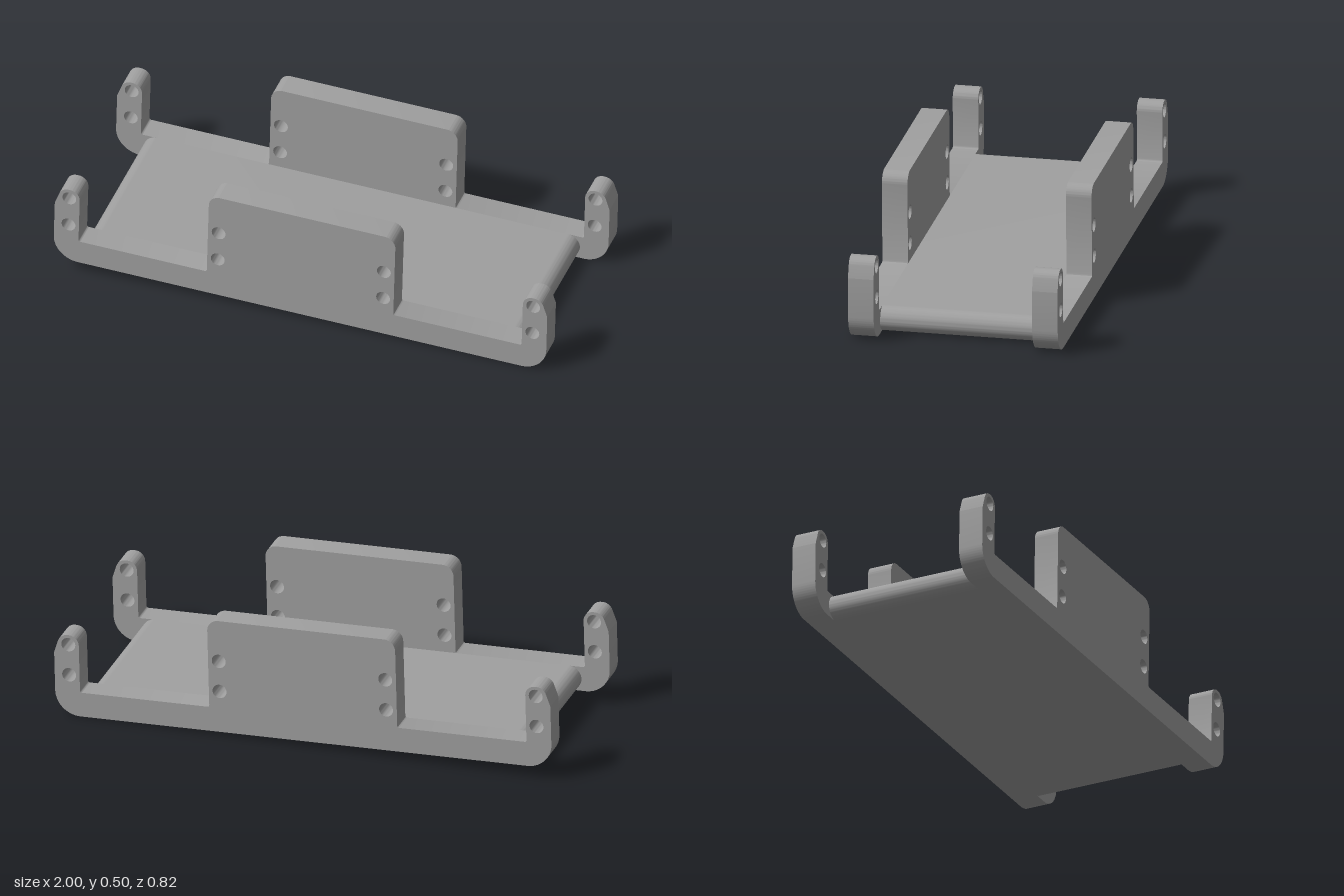
import * as THREE from 'three';
import { toCreasedNormals } from 'three/addons/utils/BufferGeometryUtils.js';

const TILT = -0.0264;       // the whole tray leans slightly to one side
const BED_HALF = 0.31;      // half depth of the bed
const PLATE = 0.1;          // thickness of the side plates

// Closed shape from [x, y, radius] corners, each rounded by a tangent arc
function roundedShape(corners) {
  const shape = new THREE.Shape();
  const n = corners.length;
  corners.forEach(([x, y, r], i) => {
    const p = new THREE.Vector2(x, y);
    const toward = (c) => new THREE.Vector2(c[0], c[1]).sub(p).normalize();
    const u = toward(corners[(i + n - 1) % n]);
    const v = toward(corners[(i + 1) % n]);
    const half = Math.acos(u.dot(v)) / 2;
    const d = r / Math.tan(half);
    const c = u.clone().add(v).normalize().multiplyScalar(r / Math.sin(half)).add(p);
    const a = u.clone().multiplyScalar(d).add(p);
    const b = v.clone().multiplyScalar(d).add(p);
    if (i === 0) shape.moveTo(a.x, a.y);
    else shape.lineTo(a.x, a.y);
    shape.absarc(c.x, c.y, r, Math.atan2(a.y - c.y, a.x - c.x),
      Math.atan2(b.y - c.y, b.x - c.x), u.cross(v) > 0);
  });
  shape.closePath();
  return shape;
}

function extrude(shape, depth) {
  const geo = new THREE.ExtrudeGeometry(shape, { depth, bevelEnabled: false, curveSegments: 16 });
  geo.translate(0, 0, -depth / 2);
  return toCreasedNormals(geo, 0.5);
}

export function createModel() {
  const grey = new THREE.MeshStandardMaterial({ color: 0xa0a0a0 });
  grey.name = 'grey';
  const model = new THREE.Group();
  model.name = 'cradleBracket';

  // Side plate: rail with an ear at each end and a tall tab in the middle
  const half = [
    [0.998, 0, 0.1], [0.998, 0.26, 0.02], [0.972, 0.336, 0.04], [0.898, 0.336, 0.04],
    [0.898, 0.1, 0.008], [0.378, 0.1, 0.008], [0.378, 0.465, 0.045],
  ];
  const mirrored = half.map(([x, y, r]) => [-x, y, r]).reverse();
  const plateShape = roundedShape([...half, ...mirrored]);

  // Screw holes, in pairs on the ears and the tab
  for (const x of [-0.94, -0.335, 0.335, 0.94]) {
    for (const y of [0.17, 0.296]) {
      const hole = new THREE.Path();
      hole.absarc(x, y, 0.028, 0, Math.PI * 2, true);
      plateShape.holes.push(hole);
    }
  }
  const plateGeo = extrude(plateShape, PLATE);
  for (const [name, side] of [['frontPlate', 1], ['backPlate', -1]]) {
    const plate = new THREE.Mesh(plateGeo, grey);
    plate.name = name;
    plate.position.z = side * (BED_HALF + PLATE / 2);
    model.add(plate);
  }

  // Bed between the plates, with half-round ends
  const bedShape = new THREE.Shape();
  bedShape.moveTo(-0.833, 0);
  bedShape.lineTo(0.833, 0);
  bedShape.absarc(0.833, 0.05, 0.05, -Math.PI / 2, Math.PI / 2, false);
  bedShape.lineTo(-0.833, 0.1);
  bedShape.absarc(-0.833, 0.05, 0.05, Math.PI / 2, Math.PI * 1.5, false);
  const bed = new THREE.Mesh(extrude(bedShape, BED_HALF * 2), grey);
  bed.name = 'bed';
  model.add(bed);

  // Lean the assembly and rest its low corner on the ground
  const tilted = new THREE.Group();
  model.rotation.z = TILT;
  model.position.set(-0.006, 0.0245, 0);
  tilted.name = 'model';
  tilted.add(model);
  return tilted;
}
